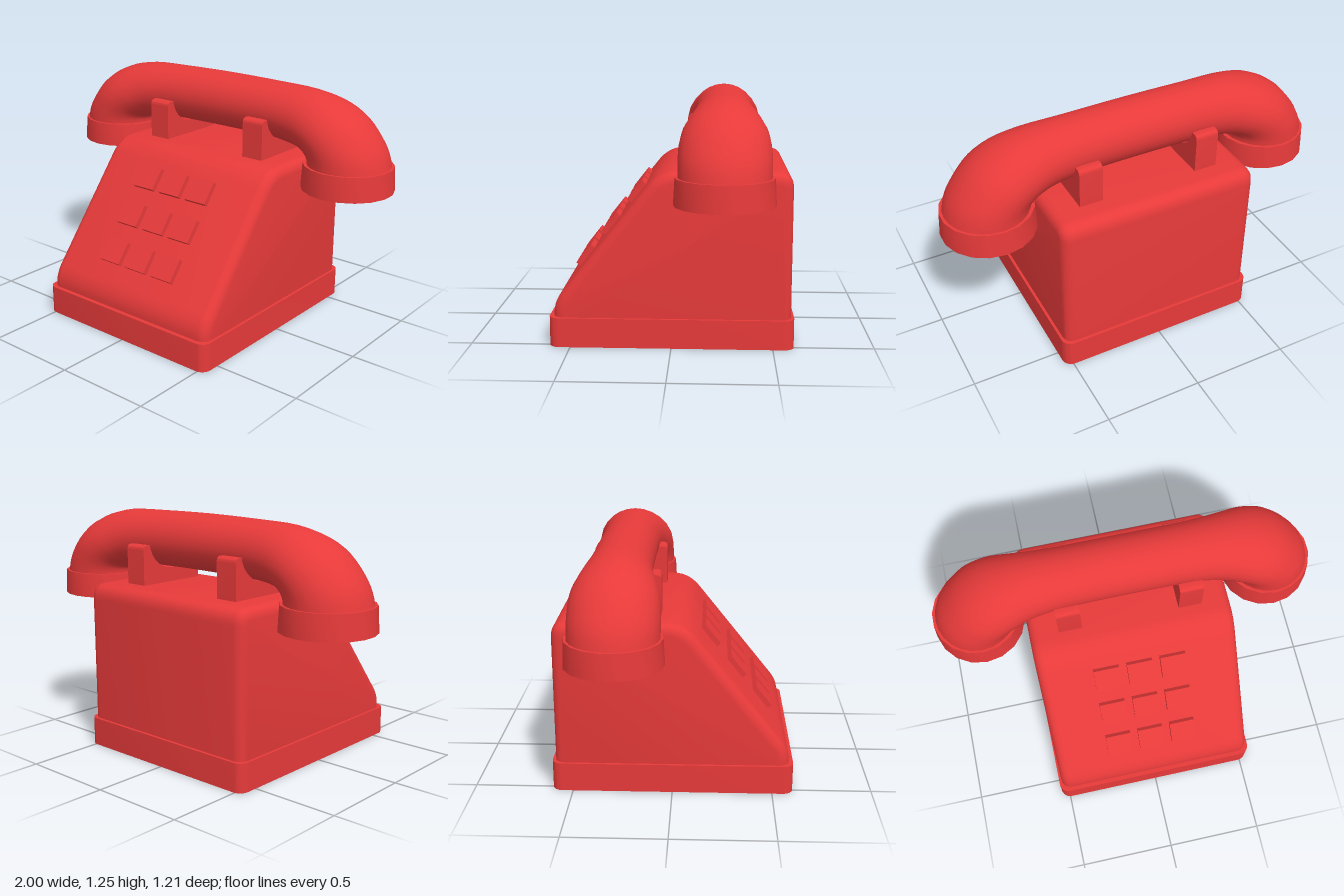
import * as THREE from 'three';
import { toCreasedNormals } from 'three/addons/utils/BufferGeometryUtils.js';

const red = new THREE.MeshStandardMaterial({ color: 0xe83a3a });
red.name = 'red plastic';
const grey = new THREE.MeshStandardMaterial({ color: 0x9c9c9c });
grey.name = 'grey';

const HANDSET_Z = -0.256;

function addMesh(parent, name, geometry, material = red) {
  const mesh = new THREE.Mesh(geometry, material);
  mesh.name = name;
  parent.add(mesh);
  return mesh;
}

// Extrudes a side profile drawn as (z, y) across x, centred on x = 0
function extrudeAcross(shape, width, bevel = 0) {
  const geo = new THREE.ExtrudeGeometry(shape, {
    depth: width - 2 * bevel, curveSegments: 8,
    bevelEnabled: bevel > 0, bevelSize: bevel, bevelThickness: bevel,
    bevelOffset: -bevel, bevelSegments: 4,
  });
  geo.translate(0, 0, -(width / 2 - bevel)).rotateY(-Math.PI / 2);
  return toCreasedNormals(geo, 0.6);
}

// Plinth with rounded upright corners
function plinthGeometry(hx, hz, r, height) {
  const s = new THREE.Shape();
  s.absarc(hx - r, hz - r, r, 0, Math.PI / 2);
  s.absarc(-hx + r, hz - r, r, Math.PI / 2, Math.PI);
  s.absarc(-hx + r, -hz + r, r, Math.PI, Math.PI * 1.5);
  s.absarc(hx - r, -hz + r, r, Math.PI * 1.5, Math.PI * 2);
  const geo = new THREE.ExtrudeGeometry(s, { depth: height, bevelEnabled: false, curveSegments: 5 });
  return toCreasedNormals(geo.rotateX(-Math.PI / 2), 0.6);
}

// Wedge-shaped body profile
function bodyShape() {
  const s = new THREE.Shape();
  s.moveTo(0.583, 0.06);
  s.lineTo(0.583, 0.16);
  s.quadraticCurveTo(0.583, 0.218, 0.54, 0.272);
  s.lineTo(0.12, 0.798);
  s.quadraticCurveTo(0.058, 0.875, -0.03, 0.875);
  s.lineTo(-0.51, 0.875);
  s.quadraticCurveTo(-0.59, 0.875, -0.59, 0.795);
  s.lineTo(-0.59, 0.06);
  return s;
}

// U-shaped rest with two upright prongs
function cradleShape() {
  const s = new THREE.Shape();
  const z = HANDSET_Z, w = 0.198, cut = 0.156, top = 1.08, cy = 1.105;
  const a = Math.asin((top - cy) / cut);
  s.moveTo(z + w, 0.84);
  s.lineTo(z + w, top - 0.025);
  s.quadraticCurveTo(z + w, top, z + w - 0.025, top);
  s.absarc(z, cy, cut, a, -Math.PI - a, true);
  s.lineTo(z - w + 0.025, top);
  s.quadraticCurveTo(z - w, top, z - w, top - 0.025);
  s.lineTo(z - w, 0.84);
  return s;
}

// Arched handle: rings span between an outer and an inner curve
function handleGeometry() {
  // outer x, outer y, inner x, inner y, half width
  const half = [
    [0, 1.25, 0, 0.96, 0.153],
    [0.33, 1.245, 0.32, 0.957, 0.156],
    [0.55, 1.235, 0.45, 0.947, 0.174],
    [0.71, 1.195, 0.51, 0.94, 0.199],
    [0.83, 1.125, 0.54, 0.93, 0.212],
    [0.915, 1.03, 0.555, 0.917, 0.215],
    [0.96, 0.955, 0.56, 0.9, 0.215],
    [0.982, 0.88, 0.56, 0.88, 0.215],
  ];
  const mirrored = half.slice(1).reverse().map(([ox, oy, ix, iy, w]) => [-ox, oy, -ix, iy, w]);
  const stations = [...mirrored, ...half];
  const outer = new THREE.CatmullRomCurve3(
    stations.map((p) => new THREE.Vector3(p[0], p[1], p[4])), false, 'catmullrom');
  const inner = new THREE.CatmullRomCurve3(
    stations.map((p) => new THREE.Vector3(p[2], p[3], 0)), false, 'catmullrom');

  const steps = (stations.length - 1) * 3, sides = 24, pos = [], index = [];
  for (let i = 0; i <= steps; i++) {
    const o = outer.getPoint(i / steps), n = inner.getPoint(i / steps);
    for (let j = 0; j < sides; j++) {
      const a = (j / sides) * Math.PI * 2, c = Math.cos(a);
      pos.push((o.x + n.x + (o.x - n.x) * c) / 2, (o.y + n.y + (o.y - n.y) * c) / 2,
        HANDSET_Z + o.z * Math.sin(a));
      if (i === steps) continue;
      const p = i * sides + j, q = i * sides + (j + 1) % sides;
      index.push(p, q, p + sides, q, q + sides, p + sides);
    }
  }
  const geo = new THREE.BufferGeometry();
  geo.setAttribute('position', new THREE.Float32BufferAttribute(pos, 3));
  geo.setIndex(index);
  geo.computeVertexNormals();
  return geo;
}

export function createModel() {
  const phone = new THREE.Group();
  phone.name = 'telephone';

  addMesh(phone, 'plinth', plinthGeometry(0.542, 0.605, 0.05, 0.148));
  addMesh(phone, 'body', extrudeAcross(bodyShape(), 1.056, 0.05));

  // Keypad: three rows of three on the sloping front
  const keypad = new THREE.Group();
  keypad.name = 'keypad';
  phone.add(keypad);
  const depth = 0.05, tilt = 0.671;
  const keyGeo = new THREE.BoxGeometry(0.135, 0.125, depth);
  for (let row = 0; row < 3; row++) {
    for (let col = -1; col <= 1; col++) {
      const key = addMesh(keypad, 'key', keyGeo);
      key.rotation.x = -tilt;
      key.position.set(col * 0.176,
        0.74 - row * 0.1675 - Math.sin(tilt) * depth / 2,
        0.2 + row * 0.1335 - Math.cos(tilt) * depth / 2);
    }
  }

  // Handset with a cup at each end
  const handset = new THREE.Group();
  handset.name = 'handset';
  phone.add(handset);
  addMesh(handset, 'handle', handleGeometry());
  const cupProfile = [[0.17, 0.78], [0.17, 0.763], [0.235, 0.763], [0.228, 0.89], [0.19, 0.89]]
    .map(([r, y]) => new THREE.Vector2(r, y));
  const cupGeo = toCreasedNormals(new THREE.LatheGeometry(cupProfile, 18), 0.6);
  const discGeo = new THREE.CircleGeometry(0.175, 18).rotateX(Math.PI / 2);
  const cradleGeo = extrudeAcross(cradleShape(), 0.122);
  for (const side of [-1, 1]) {
    addMesh(handset, 'cup', cupGeo).position.set(side * 0.767, 0, HANDSET_Z);
    addMesh(handset, 'cupDisc', discGeo, grey).position.set(side * 0.767, 0.776, HANDSET_Z);
    addMesh(phone, 'cradle', cradleGeo).position.x = side * 0.315;
  }
  return phone;
}
